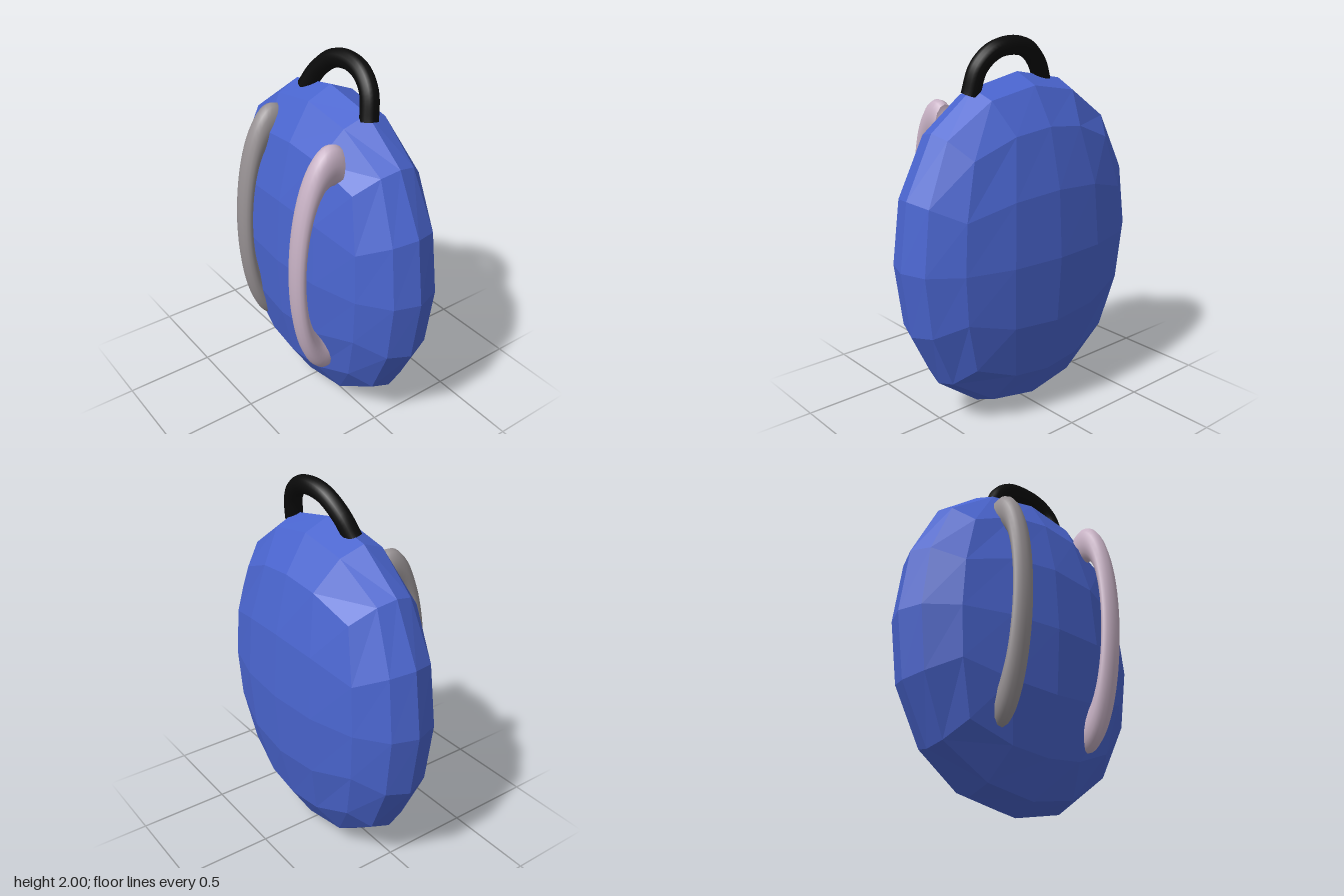
import * as THREE from 'three';

const mat = (name, color, extra = {}) => {
  const m = new THREE.MeshStandardMaterial({ color, ...extra });
  m.name = name;
  return m;
};

// Faceted pebble: a box grid rounded out to an ellipsoid
function bodyGeometry() {
  const box = new THREE.BoxGeometry(2, 2, 2, 4, 4, 4);
  const pos = box.attributes.position;
  const v = new THREE.Vector3();
  const bend = (t) => Math.tan((t * Math.PI) / 4);
  for (let i = 0; i < pos.count; i++) {
    v.fromBufferAttribute(pos, i);
    v.set(bend(v.x), bend(v.y), bend(v.z)).normalize();
    // slight fullness towards the old box edges and corners
    const full = 1 + 0.056 * (1 - (v.x ** 4 + v.y ** 4 + v.z ** 4));
    pos.setXYZ(i, v.x * full * 0.745, v.y * full * 0.905, v.z * full * 0.345);
  }
  const geo = box.toNonIndexed();
  geo.computeVertexNormals();
  return geo;
}

// Stretched part-ring bulging towards +z, thick at the ends and thin in the middle
function strapGeometry() {
  const arc = Math.PI * 1.16;
  const geo = new THREE.TorusGeometry(1, 0.19, 14, 36, arc);
  geo.rotateZ(-arc / 2);
  geo.scale(0.181, 0.567, 0.316);
  geo.rotateY(-Math.PI / 2);
  return geo;
}

export function createModel() {
  const model = new THREE.Group();
  model.name = 'backpack';
  const blue = mat('blue shell', 0x4a65cf, { flatShading: true });
  const black = mat('black handle', 0x0a0a0a, { side: THREE.DoubleSide });
  const pink = mat('pale pink strap', 0xc9b3c6, { side: THREE.DoubleSide });
  const grey = mat('grey strap', 0x989294, { side: THREE.DoubleSide });

  const add = (name, geo, material, x, y, z) => {
    const mesh = new THREE.Mesh(geo, material);
    mesh.name = name;
    mesh.position.set(x, y, z);
    model.add(mesh);
    return mesh;
  };

  add('body', bodyGeometry(), blue, 0, 0.91, -0.055);

  // Shoulder straps, both leaning slightly the same way
  const strap = strapGeometry();
  add('leftStrap', strap, pink, 0.298, 1.005, 0.185).rotation.z = -0.034;
  add('rightStrap', strap, grey, -0.265, 1.005, 0.137).rotation.z = -0.03;

  // Carrying handle, off centre and leaning back
  const path = new THREE.CatmullRomCurve3([
    [-0.185, 1.75, -0.038], [-0.125, 1.85, -0.065], [-0.03, 1.93, -0.088],
    [0.08, 1.953, -0.097], [0.19, 1.93, -0.092], [0.27, 1.855, -0.077],
    [0.303, 1.725, -0.055],
  ].map((p) => new THREE.Vector3(...p)));
  add('handle', new THREE.TubeGeometry(path, 36, 0.048, 14), black, 0, 0, 0);

  return model;
}
